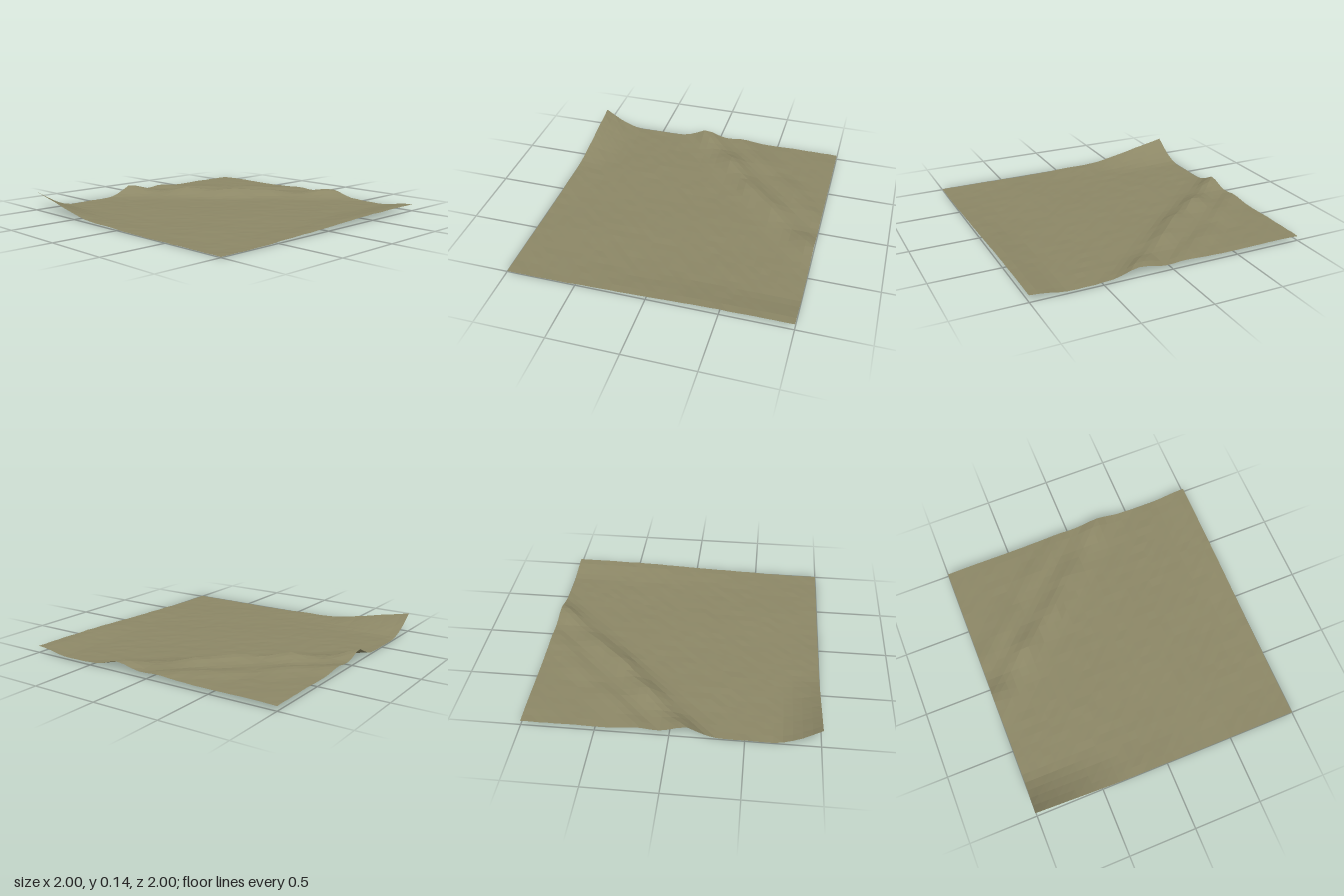
import * as THREE from 'three';

const step = (v, a, b) => THREE.MathUtils.smoothstep(v, a, b);
const clamp01 = (v) => Math.min(1, Math.max(0, v));

// Humps along the scarp: x, z, extra height
const HUMPS = [
  [-1.0, 0.11, 0.055], [-0.63, -0.2, 0.045], [-0.34, -0.41, 0.04],
  [-0.15, -0.62, 0.032], [0.22, -0.95, 0.042],
  // lower second ridge behind it
  [-0.98, -0.22, 0.022], [-0.72, -0.42, 0.018], [-0.4, -0.72, 0.02], [-0.15, -0.9, 0.016],
];

// Seeded value for small surface roughness
function rough(i, j) {
  const s = Math.sin(i * 127.1 + j * 311.7) * 43758.5453;
  return s - Math.floor(s) - 0.5;
}

function heightAt(x, z) {
  // Distance across the diagonal scarp, positive on the valley side
  const d = (0.88 * x + z + 0.62) / 1.332;
  let y = 0.009 + 0.012 * clamp01((0.8 - z) / 1.3);

  // Plateau behind the scarp
  y += 0.02 * (1 - step(d, -0.1, 0.1));

  // Humps: long along the scarp, steeper on the valley side
  for (const [hx, hz, h] of HUMPS) {
    const dx = x - hx, dz = z - hz;
    const across = (0.88 * dx + dz) / 1.332;
    const along = (dx - 0.88 * dz) / 1.332;
    const w = across > 0 ? 0.075 : 0.1;
    y += h * Math.exp(-((across / w) ** 2) - (along / 0.17) ** 2);
  }

  // Upturned front corner
  y += 0.13 * clamp01((-0.35 - x) / 0.65) * clamp01((z - 0.7) / 0.3) ** 1.5;
  y += 0.01 * step(z, 0.75, 1) * step(-x, -0.4, 0.5);

  // Gentle bank along the +x side
  y += 0.035 * step(x, 0.72, 1) * step(-z, -0.8, 0.9);

  // Soft undulation
  y += 0.002 * Math.sin(x * 7 + z * 3) * Math.cos(z * 6 - x * 2);
  return y;
}

export function createModel() {
  const group = new THREE.Group();
  group.name = 'terrain';

  const n = 32;
  const geometry = new THREE.PlaneGeometry(2, 2, n, n).rotateX(-Math.PI / 2);
  const p = geometry.attributes.position;
  for (let k = 0; k < p.count; k++) {
    const i = k % (n + 1), j = Math.floor(k / (n + 1));
    p.setY(k, heightAt(p.getX(k), p.getZ(k)) + 0.004 * rough(i, j));
  }

  // Rest the lowest point on the ground plane
  geometry.computeBoundingBox();
  geometry.translate(0, -geometry.boundingBox.min.y, 0);
  geometry.computeVertexNormals();

  const material = new THREE.MeshStandardMaterial({
    color: 0x8c8766, flatShading: true, side: THREE.DoubleSide,
  });
  const ground = new THREE.Mesh(geometry, material);
  ground.name = 'groundSurface';
  group.add(ground);
  return group;
}
